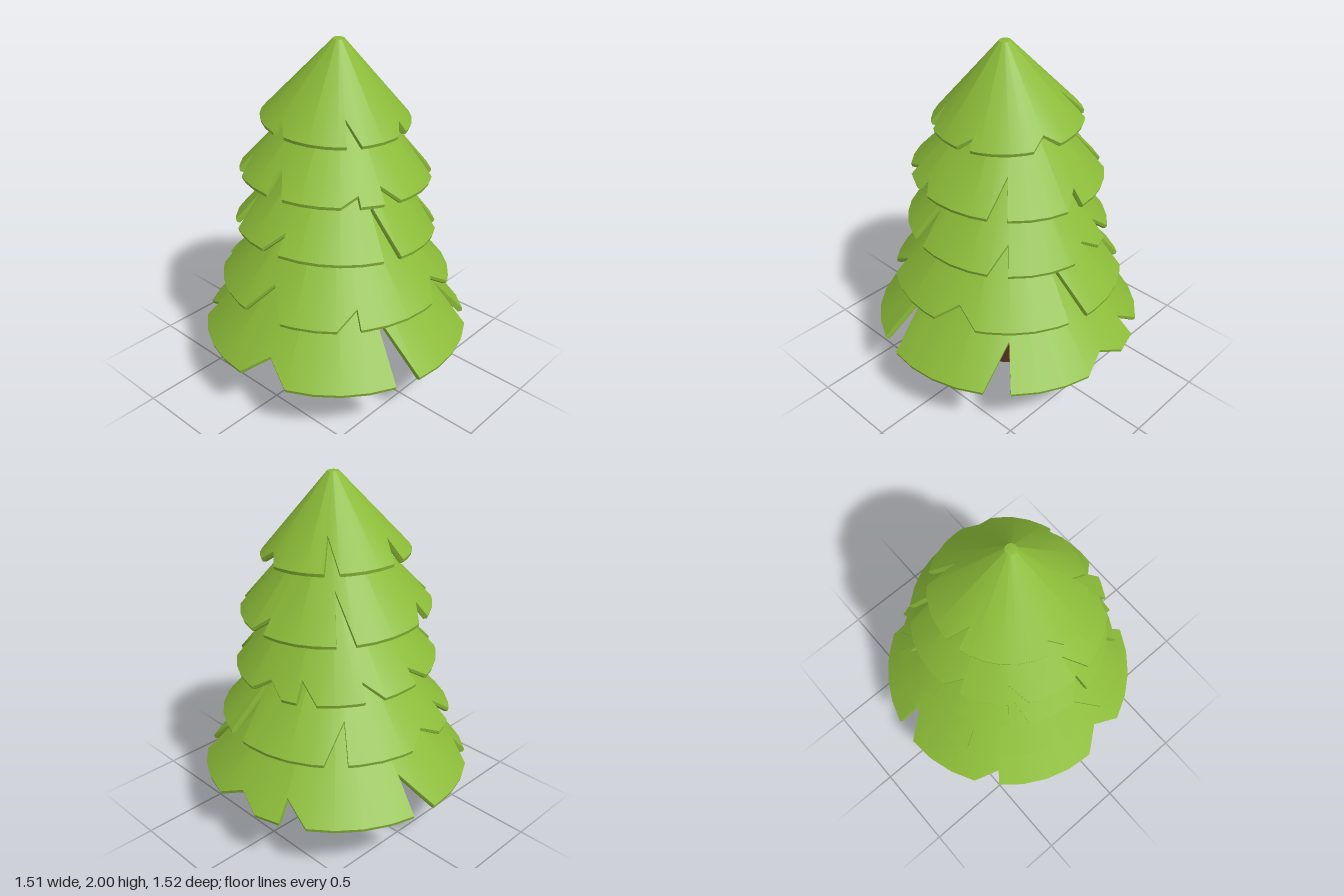
import * as THREE from 'three';
import { toCreasedNormals } from 'three/addons/utils/BufferGeometryUtils.js';

const green = new THREE.MeshStandardMaterial({ color: 0x8bbb38 });
const brown = new THREE.MeshStandardMaterial({ color: 0x55321f });

const wrap = (a) => ((a % 360) + 360) % 360;

// Notch shapes, given the tip's angle in degrees (from +x towards +z)
// and its distance down the cone, from 0 at the top to 1 at the rim
const steepStart = (tip, t) => ({ start: tip - 0.5, tip, end: tip + 10.75, t });
const steepEnd = (tip, t) => ({ start: tip - 10.75, tip, end: tip + 0.5, t });
const even = (tip, t) => ({ start: tip - 11, tip, end: tip + 11, t });

// Rim columns sorted by angle: regular steps, replaced by the corners of the notches
function rimColumns(notches) {
  const columns = [];
  for (let angle = 0; angle < 360; angle += 11.25) {
    const cut = notches.some((n) => wrap(angle - n.start + 0.5) < n.end - n.start + 1);
    if (!cut) columns.push({ angle, t: 1 });
  }
  for (const { start, tip, end, t } of notches) {
    columns.push({ angle: wrap(start), t: 1 }, { angle: wrap(tip), t }, { angle: wrap(end), t: 1 });
  }
  return columns.sort((p, q) => p.angle - q.angle);
}

// A thin hollow cone with a notched, slightly rounded lower edge
function tierGeometry(rim, height, notches) {
  const tipRadius = 0.03, rows = 6;
  const columns = rimColumns(notches);
  const pos = [], index = [];
  for (const { angle, t } of columns) {
    const a = THREE.MathUtils.degToRad(angle);
    const r = THREE.MathUtils.lerp(tipRadius, rim, t), h = height * (1 - t);
    const profile = [
      [0, height], [tipRadius, height - 0.004],
      [r, h], [r - 0.005, h - 0.018], [r - 0.024, h - 0.022],
      [0, height - 0.05],
    ];
    for (const [pr, ph] of profile) pos.push(pr * Math.cos(a), ph, pr * Math.sin(a));
  }
  for (let i = 0; i < columns.length; i++) {
    const next = (i + 1) % columns.length;
    for (let j = 0; j < rows - 1; j++) {
      const a = i * rows + j, b = a + 1, c = next * rows + j, d = c + 1;
      if (j > 0) index.push(a, c, b);
      if (j < rows - 2) index.push(c, d, b);
    }
  }
  const geometry = new THREE.BufferGeometry();
  geometry.setAttribute('position', new THREE.Float32BufferAttribute(pos, 3));
  geometry.setIndex(index);
  return toCreasedNormals(geometry, 0.6);
}

// One foliage tier with its rim at height y, tilted about x and z
function addTier(tree, name, { rim, y, top, tiltX = 0, tiltZ = 0 }, notches) {
  const mesh = new THREE.Mesh(tierGeometry(rim, top - y, notches), green);
  mesh.name = name;
  mesh.position.y = y;
  mesh.rotation.set(tiltX, 0, tiltZ);
  tree.add(mesh);
}

export function createModel() {
  const tree = new THREE.Group();
  tree.name = 'tree';

  // Trunk, reaching up inside the lowest tiers
  const trunk = new THREE.Mesh(new THREE.CylinderGeometry(0.165, 0.165, 1, 24), brown);
  trunk.name = 'trunk';
  trunk.position.y = 0.5;
  tree.add(trunk);

  // Foliage from bottom to top
  addTier(tree, 'bottomTier', { rim: 0.76, y: 0.33, top: 1.11 }, [
    even(0, 0.92), even(168.75, 0.87),
    steepEnd(-22.8, 0.87), steepEnd(-78.5, 0.78), steepEnd(112, 0.62),
    steepStart(-134.7, 0.9), steepStart(45.5, 0.74),
  ]);
  addTier(tree, 'lowerTier', { rim: 0.645, y: 0.65, top: 1.35 }, [
    even(72.5, 0.88), even(175, 0.8), even(-95, 0.91),
    steepEnd(16, 0.59), steepEnd(-118.5, 0.85),
    steepStart(-50.5, 0.75), steepStart(126, 0.88),
  ]);
  addTier(tree, 'middleTier', { rim: 0.555, y: 0.97, top: 1.6, tiltZ: -0.055 }, [
    even(-4, 0.9),
    steepEnd(110.5, 0.6), steepEnd(-24.5, 0.85), steepEnd(-61.5, 0.87),
    steepEnd(-94.5, 0.88), steepEnd(-140.5, 0.75),
    steepStart(46.5, 0.8), steepStart(170, 0.85),
  ]);
  addTier(tree, 'upperTier', { rim: 0.52, y: 1.28, top: 1.84, tiltZ: -0.05 }, [
    steepEnd(109, 0.87), steepEnd(-46, 0.62), steepEnd(-140.5, 0.85), steepEnd(179, 0.78),
    steepStart(47, 0.7), steepStart(124, 0.92), steepStart(-111, 0.87), steepStart(0, 0.87),
  ]);
  addTier(tree, 'topTier', { rim: 0.4, y: 1.58, top: 2, tiltX: 0.05 }, [
    even(17, 0.88),
    steepEnd(-37.5, 0.63), steepEnd(-171.5, 0.86), steepEnd(129, 0.75),
    steepStart(-103, 0.75), steepStart(74.5, 0.89),
  ]);
  return tree;
}
